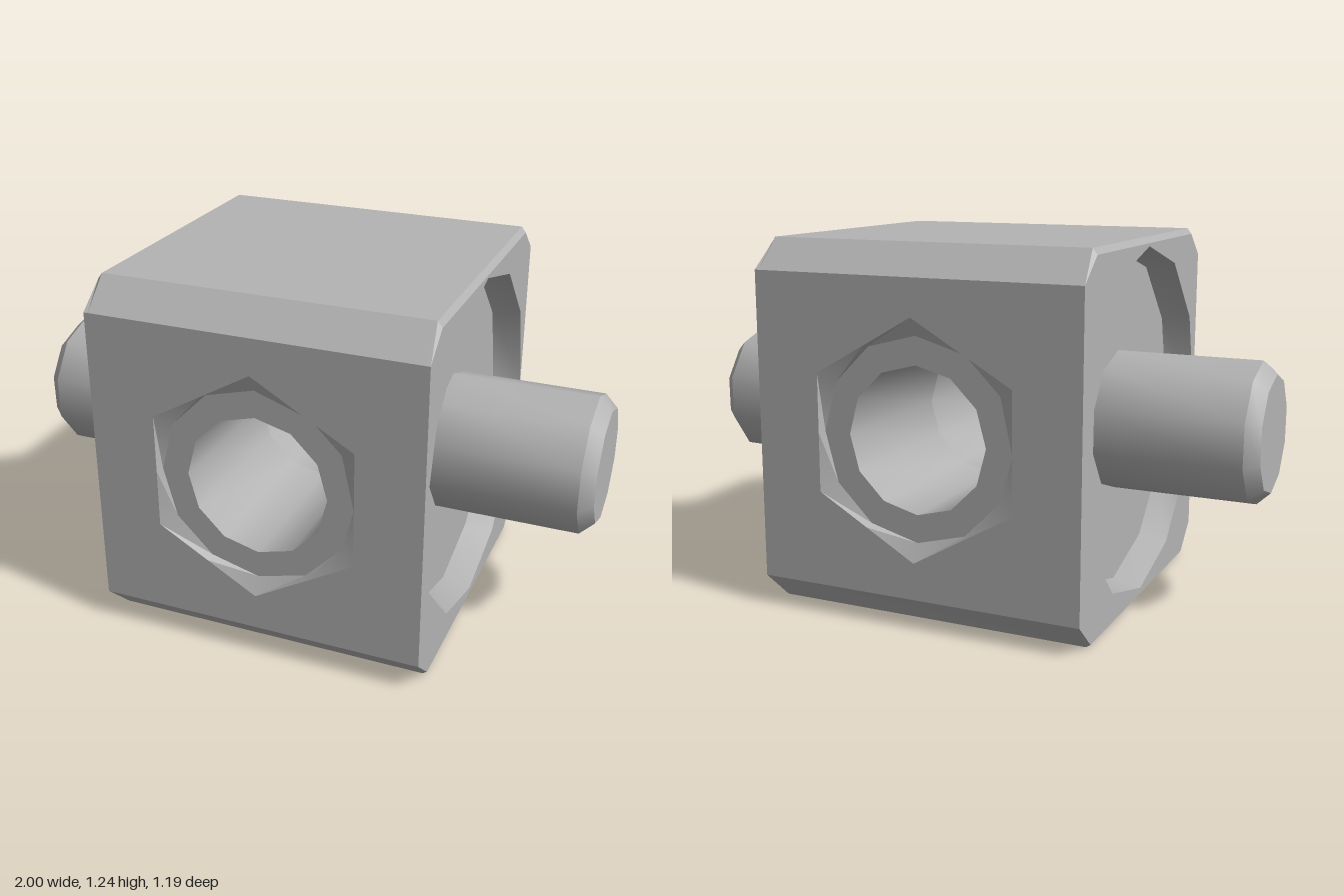
import * as THREE from 'three';
import { toCreasedNormals } from 'three/addons/utils/BufferGeometryUtils.js';

const MID = 0.618;      // height of the shaft and bore axes
const HALF_X = 0.567, HALF_Z = 0.595, TOP = 1.236, CUT = 0.1;

// Ring of points round the local z axis; odd points may have their own radius
function ring(n, z, r, start = 0, rOdd = r) {
  return Array.from({ length: n }, (_, i) => {
    const a = start + (i / n) * Math.PI * 2, q = i % 2 ? rOdd : r;
    return new THREE.Vector3(Math.cos(a) * q, MID + Math.sin(a) * q, z);
  });
}

// Surface through successive rings; running towards +z makes it face outwards
function loft(rings, skip = () => false, crease = 0.72) {
  const pts = [];
  for (let k = 0; k < rings.length - 1; k++) {
    const A = rings[k], B = rings[k + 1], n = A.length;
    for (let i = 0; i < n; i++) {
      if (skip(i)) continue;
      const j = (i + 1) % n;
      pts.push(A[i], A[j], B[j], A[i], B[j], B[i]);
    }
  }
  const g = new THREE.BufferGeometry().setFromPoints(pts);
  g.computeVertexNormals();
  return toCreasedNormals(g, crease);
}

// Flat face towards +z with an optional opening
function face(outline, z, hole) {
  const shape = new THREE.Shape(outline);
  if (hole) shape.holes.push(new THREE.Path(hole));
  return new THREE.ShapeGeometry(shape).translate(0, 0, z);
}

const flat = (points) => points.map((p) => new THREE.Vector2(p.x, p.y));

// Chamfered block section; lift pulls the top and bottom in for the edge bevel
function section(z, lift) {
  const b = lift / 2, t = TOP - lift, w = HALF_Z, c = CUT;
  return [[w, c], [w, TOP - c], [w - c, t], [-w + c, t], [-w, TOP - c], [-w, c], [-w + c, b], [w - c, b]]
    .map(([x, y]) => new THREE.Vector3(x, y, z));
}

export function createModel() {
  const group = new THREE.Group();
  const steel = new THREE.MeshStandardMaterial({ color: 0xb3b3b3 });
  steel.name = 'grey steel';
  const add = (parent, name, geometry) => {
    const mesh = new THREE.Mesh(geometry, steel);
    mesh.name = name;
    parent.add(mesh);
  };

  // Block shell, leaving the two bored faces open
  const shell = loft([
    section(-HALF_X, 0.02), section(-HALF_X + 0.015, 0),
    section(HALF_X - 0.015, 0), section(HALF_X, 0.02),
  ], (i) => i === 0 || i === 4, 0.1);
  add(group, 'blockShell', shell.rotateY(Math.PI / 2));

  // Ends: round recess with a shaft standing in it
  for (const [side, name] of [[1, 'left'], [-1, 'right']]) {
    const end = new THREE.Group();
    end.name = name + 'End';
    end.rotation.y = side * Math.PI / 2;
    const floorZ = HALF_X - 0.1;
    const rim = ring(12, HALF_X, 0.588), floor = ring(12, floorZ, 0.568);
    add(end, 'endFace', face(flat(section(HALF_X, 0.02)), HALF_X, flat(rim)));
    add(end, 'recessWall', loft([rim, floor]));
    add(end, 'recessFloor', face(flat(floor), floorZ));
    const tip = ring(10, 1, 0.195, 0.3);
    add(end, 'shaft', loft([ring(10, floorZ, 0.238, 0.3), ring(10, 0.955, 0.238, 0.3), tip]));
    add(end, 'shaftTip', face(flat(tip), 1));
    group.add(end);
  }

  // Front and back: six-sided rim, shallow shelf and half of the through bore
  const start = Math.PI / 6;
  for (const [turn, name] of [[0, 'front'], [Math.PI, 'back']]) {
    const bored = new THREE.Group();
    bored.name = name + 'BoredFace';
    bored.rotation.y = turn;
    const shelfZ = HALF_Z - 0.03;
    const plate = [[-HALF_X, CUT], [HALF_X, CUT], [HALF_X, TOP - CUT], [-HALF_X, TOP - CUT]]
      .map(([x, y]) => new THREE.Vector2(x, y));
    const rim = ring(12, HALF_Z, 0.395, start, 0.342);
    const shelf = ring(12, shelfZ, 0.335, start), mouth = ring(12, shelfZ, 0.242, start);
    add(bored, 'plate', face(plate, HALF_Z, flat(rim)));
    add(bored, 'countersink', loft([rim, shelf]));
    add(bored, 'shelf', face(flat(shelf), shelfZ, flat(mouth)));
    add(bored, 'bore', loft([mouth, ring(12, 0, 0.242, start)]));
    group.add(bored);
  }
  return group;
}
